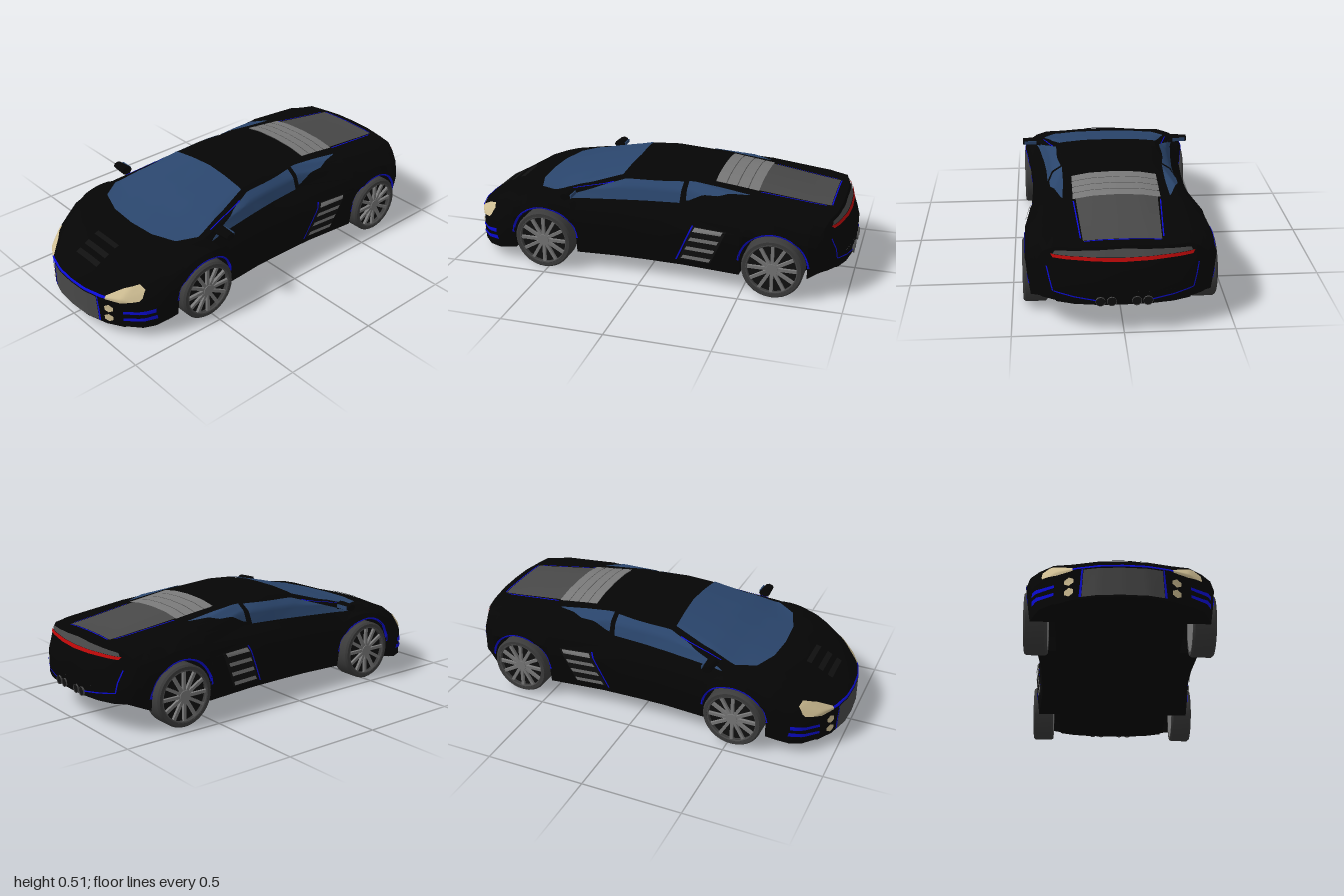
import * as THREE from 'three';
import { toCreasedNormals } from 'three/addons/utils/BufferGeometryUtils.js';

const mat = (name, color) => {
  const m = new THREE.MeshStandardMaterial({ color, side: THREE.DoubleSide });
  m.name = name;
  return m;
};
const M = {
  paint: mat('black paint', 0x050505),
  glass: mat('blue glass', 0x2a456c),
  lamp: mat('lamp cream', 0xd0bf94),
  blue: mat('blue trim', 0x0a0ad8),
  red: mat('tail red', 0xb80808),
  dark: mat('dark grey', 0x484848),
  grey: mat('vent grey', 0x787878),
  tyre: mat('tyre grey', 0x3c3c3c),
  shade: mat('recess black', 0x101010),
};

// Wheel layout
const AXLES = [0.52, -0.65], WHEEL_R = 0.15, ARCH_R = 0.163;

// Body stations: z, top, roof edge x/y, belt x/y, widest x/y
const KEYS = [
  [0.994, .200, .20, .197, .355, .188, .385, .14],
  [0.92, .264, .22, .260, .365, .246, .41, .15],
  [0.80, .325, .22, .320, .37, .303, .425, .22],
  [0.62, .366, .25, .363, .385, .352, .44, .27],
  [0.48, .402, .31, .383, .385, .360, .44, .27],
  [0.36, .437, .29, .422, .36, .362, .415, .26],
  [0.14, .493, .25, .478, .335, .370, .40, .27],
  [0, .510, .245, .488, .325, .372, .40, .27],
  [-0.20, .503, .245, .475, .318, .385, .405, .28],
  [-0.50, .463, .235, .437, .365, .407, .435, .30],
  [-0.80, .412, .22, .400, .37, .378, .435, .29],
  [-0.93, .395, .22, .387, .345, .362, .405, .27],
  [-0.96, .335, .24, .330, .34, .318, .395, .25],
  [-0.994, .250, .24, .246, .34, .240, .38, .22],
];
const clamp = THREE.MathUtils.clamp, lerp = THREE.MathUtils.lerp;

function station(z) {
  let i = 0;
  while (i < KEYS.length - 2 && z < KEYS[i + 1][0]) i++;
  const a = KEYS[i], b = KEYS[i + 1], t = clamp((z - a[0]) / (b[0] - a[0]), 0, 1);
  return a.map((v, k) => lerp(v, b[k], t));
}

// Cross-section ring from roof centre round both flanks
function section(z, collapseY) {
  const [, top, wr, yr, wb, yb, wm, ym0] = station(z);
  const ws = wm - 0.02;
  const bot = 0.08 - 0.032 * clamp((z - 0.62) / 0.3, 0, 1) + 0.06 * clamp((-z - 0.7) / 0.29, 0, 1);
  let low = bot + 0.005;
  for (const c of AXLES) {
    const d = ARCH_R ** 2 - (z - c) ** 2;
    if (d >= 0) low = WHEEL_R + Math.sqrt(d);
  }
  const ym = Math.max(ym0, low + 0.008);
  const pts = [
    [0, top], [wr * 0.5, lerp(top, yr, 0.2)], [wr, yr],
    [(wr + wb) / 2 + 0.014, (yr + yb) / 2 + 0.012], [wb, yb],
    [(wb + wm) / 2 + 0.012, (yb + ym) / 2 + 0.008], [wm, ym],
    [lerp(wm, ws, 0.4), lerp(ym, low, 0.5)], [ws, low],
    [0.30, low], [0.30, bot], [0.22, bot], [0.11, bot], [0, bot],
  ];
  const full = pts.concat(pts.slice(1, -1).reverse().map(([x, y]) => [-x, y]));
  // Bow the nose and tail in plan
  const front = 0.18 * clamp((z - 0.69) / 0.304, 0, 1);
  const rear = 0.12 * clamp((-z - 0.82) / 0.174, 0, 1);
  return full.map(([x, y]) => {
    const u = Math.abs(x) / 0.4;
    return [x, collapseY ?? y, z - front * u ** 2.6 + rear * u ** 3];
  });
}

function buildBody() {
  const zs = KEYS.map(k => k[0]);
  for (const c of AXLES) {
    zs.push(c + ARCH_R + 0.001, c - ARCH_R - 0.001);
    for (let k = 0; k <= 16; k++) zs.push(c + ARCH_R * 0.9999 * Math.cos(k * Math.PI / 16));
  }
  zs.sort((a, b) => b - a);
  // Collapsed end rings close the curved nose and tail
  const rings = [section(0.994, 0.13), ...zs.map(z => section(z)), section(-0.994, 0.2)];
  const n = rings[0].length, index = [];
  for (let i = 0; i < rings.length - 1; i++)
    for (let j = 0; j < n; j++) {
      const a = i * n + j, b = i * n + (j + 1) % n;
      if (j < n / 2) index.push(a, b, b + n, a, b + n, a + n);
      else index.push(a, b, a + n, b, b + n, a + n);
    }
  const g = new THREE.BufferGeometry();
  g.setAttribute('position', new THREE.Float32BufferAttribute(rings.flat(2), 3));
  g.setIndex(index);
  return new THREE.Mesh(toCreasedNormals(g, 0.5), M.paint);
}

// Point at parameter t on a polyline with evenly weighted segments
function along(line, t) {
  const f = t * (line.length - 1), i = Math.min(Math.floor(f), line.length - 2);
  return line[i].map((v, k) => lerp(v, line[i + 1][k], f - i));
}

export function createModel() {
  const car = new THREE.Group();
  car.name = 'sportsCar';
  const add = (name, geo, material, parent = car) => {
    const m = new THREE.Mesh(geo, material);
    m.name = name;
    parent.add(m);
    return m;
  };
  const body = buildBody();
  body.name = 'bodyShell';
  car.add(body);

  // Skin panel between two edge lines, dropped onto the body along an axis.
  // 'x' lines are [z, y], 'y' lines are [x, z], 'z' lines are [x, y].
  const ray = new THREE.Raycaster();
  function panel(name, material, axis, sign, lower, upper, { nu = 12, nv = 4, off = 0.005, flip = 1 } = {}) {
    const pos = [], index = [], k = 'xyz'.indexOf(axis);
    const dir = new THREE.Vector3().setComponent(k, -sign);
    let depth = 0.4 * sign;
    for (let j = 0; j <= nv; j++)
      for (let i = 0; i <= nu; i++) {
        const a = along(lower, i / nu), b = along(upper, i / nu);
        const p = lerp(a[0], b[0], j / nv), q = lerp(a[1], b[1], j / nv);
        const v = axis === 'x' ? [0, q, p] : axis === 'y' ? [p * flip, 0, q] : [p * flip, q, 0];
        ray.set(new THREE.Vector3(...v).setComponent(k, 5 * sign), dir);
        const hit = ray.intersectObject(body)[0];
        if (hit) depth = hit.point.getComponent(k);
        v[k] = depth + off * sign;
        pos.push(...v);
        if (i < nu && j < nv) {
          const c = j * (nu + 1) + i, d = c + nu + 1;
          index.push(c, c + 1, d, c + 1, d + 1, d);
        }
      }
    const g = new THREE.BufferGeometry();
    g.setAttribute('position', new THREE.Float32BufferAttribute(pos, 3));
    g.setIndex(index);
    g.computeVertexNormals();
    add(name, g, material);
  }
  const band = (x0, x1, y0, y1) => [[[x0, y0], [x1, y0]], [[x0, y1], [x1, y1]]];

  // Windscreen
  panel('windscreen', M.glass, 'y', 1,
    [[-.335, .49], [-.28, .58], [-.15, .625], [0, .635], [.15, .625], [.28, .58], [.335, .49]],
    [[-.255, .15], [-.17, .145], [-.09, .14], [0, .135], [.09, .14], [.17, .145], [.255, .15]], { nu: 24, nv: 16 });

  // Engine cover and its louvres
  panel('engineCover', M.dark, 'y', 1, [[-.175, -.88], [.175, -.88]], [[-.205, -.315], [.205, -.315]], { nu: 16, nv: 20 });
  for (let i = 0; i < 4; i++) {
    const z = -0.53 + i * 0.055;
    panel('engineLouvre', M.grey, 'y', 1, ...band(-.207, .207, z, z + .051), { nu: 16, off: 0.0095 });
  }
  panel('engineRearTrim', M.blue, 'y', 1, ...band(-.17, .17, -.888, -.882));

  // Bonnet vents
  for (const z of [0.77, 0.83, 0.88])
    panel('bonnetVent', M.shade, 'y', 1, ...band(-.085, .085, z, z + .025));

  // Front grille and its frame
  panel('grille', M.dark, 'z', 1, [[-.18, .055], [.18, .055]], [[-.172, .187], [.172, .187]], { nu: 20 });
  panel('grilleTopTrim', M.blue, 'z', 1, ...band(-.22, .22, .193, .205), { nu: 20 });

  for (const s of [1, -1]) {
    const o = { flip: s };
    // Front lamps and bumper details
    panel('headlight', M.lamp, 'z', 1, [[.22, .19], [.29, .186], [.355, .202], [.36, .215]],
      [[.22, .208], [.275, .248], [.325, .272], [.355, .252]], { ...o, nu: 18, nv: 8 });
    panel('grilleSideTrim', M.blue, 'z', 1, [[.181, .055], [.192, .055]], [[.174, .19], [.181, .19]], o);
    for (const y of [.14, .088])
      panel('fogLamp', M.lamp, 'z', 1, [[.215, y - .009], [.235, y - .021], [.255, y - .009]],
        [[.215, y + .009], [.235, y + .021], [.255, y + .009]], { ...o, nu: 8 });
    for (const y of [.127, .089])
      panel('bumperSlat', M.blue, 'z', 1, [[.30, y], [.36, y + .004], [.402, y + .011]],
        [[.30, y + .014], [.36, y + .021], [.402, y + .033]], { ...o, off: 0.008 });

    // Side glass and pillar trim
    panel('doorWindow', M.glass, 'x', s, [[.44, .364], [.15, .374], [-.16, .386]],
      [[.43, .370], [.13, .464], [-.165, .474]], { nu: 20, nv: 8 });
    panel('quarterWindow', M.glass, 'y', 1, [[.315, -.19], [.312, -.35], [.262, -.49]],
      [[.25, -.19], [.248, -.35], [.255, -.50]], { ...o, nu: 20, nv: 8 });
    panel('pillarTrim', M.blue, 'y', 1, [[.338, .42], [.288, .19]], [[.343, .42], [.293, .19]], o);
    panel('engineSideTrim', M.blue, 'y', 1, [[.181, -.86], [.202, -.54]], [[.187, -.86], [.208, -.54]], o);

    // Side intake with slats and a trim line
    panel('sideIntake', M.shade, 'x', s, [[-.18, .12], [-.34, .12]], [[-.25, .305], [-.42, .305]], { off: 0.003, nv: 8 });
    panel('intakeTrim', M.blue, 'x', s, [[-.16, .115], [-.168, .115]], [[-.245, .31], [-.253, .31]], { nv: 8 });
    for (let i = 0; i < 4; i++) {
      const y = .128 + i * .052, z = -.19 - i * .02;
      panel('intakeSlat', M.grey, 'x', s, [[z, y], [z - .145, y]], [[z - .012, y + .02], [z - .155, y + .02]], { off: 0.009 });
    }

    // Blue lips round the wheel arches
    for (const c of AXLES) {
      const arc = r => Array.from({ length: 19 }, (_, i) => {
        const a = 0.1 + i * (Math.PI - 0.2) / 18;
        return [c + r * Math.cos(a), WHEEL_R + r * Math.sin(a)];
      });
      panel('archTrim', M.blue, 'x', s, arc(.166), arc(.176), { nu: 36, nv: 2, off: 0.003 });
    }

    // Rear bumper seams
    panel('rearSeam', M.blue, 'z', -1, [[.31, .19], [.316, .19]], [[.335, .30], [.341, .30]], o);
    panel('rearLowerSeam', M.blue, 'z', -1, [[.12, .160], [.31, .188]], [[.12, .166], [.31, .194]], o);

    // Door mirror
    const mirror = new THREE.Group();
    mirror.name = 'doorMirror';
    mirror.position.set(s * 0.412, 0.403, 0.39);
    car.add(mirror);
    const pod = new THREE.CylinderGeometry(.8, 1, .084, 8).rotateZ(-s * Math.PI / 2).scale(1, .022, .03);
    add('mirrorPod', toCreasedNormals(pod, 0.9), M.paint, mirror);
    add('mirrorGlass', new THREE.BoxGeometry(.066, .018, .006), M.glass, mirror).position.z = -0.028;
    const stem = add('mirrorStem', new THREE.BoxGeometry(.06, .012, .022), M.paint, mirror);
    stem.position.set(-s * .056, -.018, 0);
    stem.rotation.z = s * 0.3;

    // Paired exhausts
    for (const x of [.055, .105]) {
      const pipe = add('exhaust', new THREE.CylinderGeometry(.022, .022, .05, 10, 1, true).rotateX(Math.PI / 2), M.dark);
      pipe.position.set(s * x, .158, -.975);
      add('exhaustBore', new THREE.CircleGeometry(.021, 10).rotateY(Math.PI), M.shade).position.set(s * x, .158, -.996);
    }
  }

  // Tail light bar under the spoiler edge
  panel('tailPanel', M.dark, 'z', -1, [[-.31, .356], [0, .351], [.31, .356]], [[-.30, .372], [0, .386], [.30, .372]], { nu: 20 });
  panel('tailLight', M.red, 'z', -1, [[-.31, .343], [0, .335], [.31, .343]], [[-.32, .356], [0, .351], [.32, .356]], { nu: 20, off: 0.007 });

  // Wheels, built along x with the outer face at +x
  const tyreShape = [[.125, -.055], [.142, -.055], [.15, -.045], [.15, .045], [.142, .055], [.127, .055], [.122, .03]]
    .map(p => new THREE.Vector2(...p));
  for (const s of [1, -1]) for (const z of AXLES) {
    const wheel = new THREE.Group();
    wheel.name = z > 0 ? 'frontWheel' : 'rearWheel';
    wheel.position.set(s * 0.392, WHEEL_R, z);
    if (s < 0) wheel.rotation.y = Math.PI;
    car.add(wheel);
    add('tyre', toCreasedNormals(new THREE.LatheGeometry(tyreShape, 32).rotateZ(-Math.PI / 2), 0.6), M.tyre, wheel);
    add('wheelBack', new THREE.CircleGeometry(.126, 32).rotateY(-Math.PI / 2), M.grey, wheel).position.x = -.054;
    add('wheelDish', new THREE.CircleGeometry(.125, 32).rotateY(Math.PI / 2), M.shade, wheel).position.x = .03;
    add('rim', new THREE.TorusGeometry(.124, .005, 6, 32).rotateY(Math.PI / 2), M.dark, wheel).position.x = .05;
    add('hub', new THREE.CylinderGeometry(.028, .034, .03, 12).rotateZ(-Math.PI / 2), M.grey, wheel).position.x = .037;
    for (let i = 0; i < 12; i++)
      add('spoke', new THREE.BoxGeometry(.014, .1, .015).translate(.042, .075, 0).rotateX(i * Math.PI / 6), M.grey, wheel);
  }
  return car;
}
